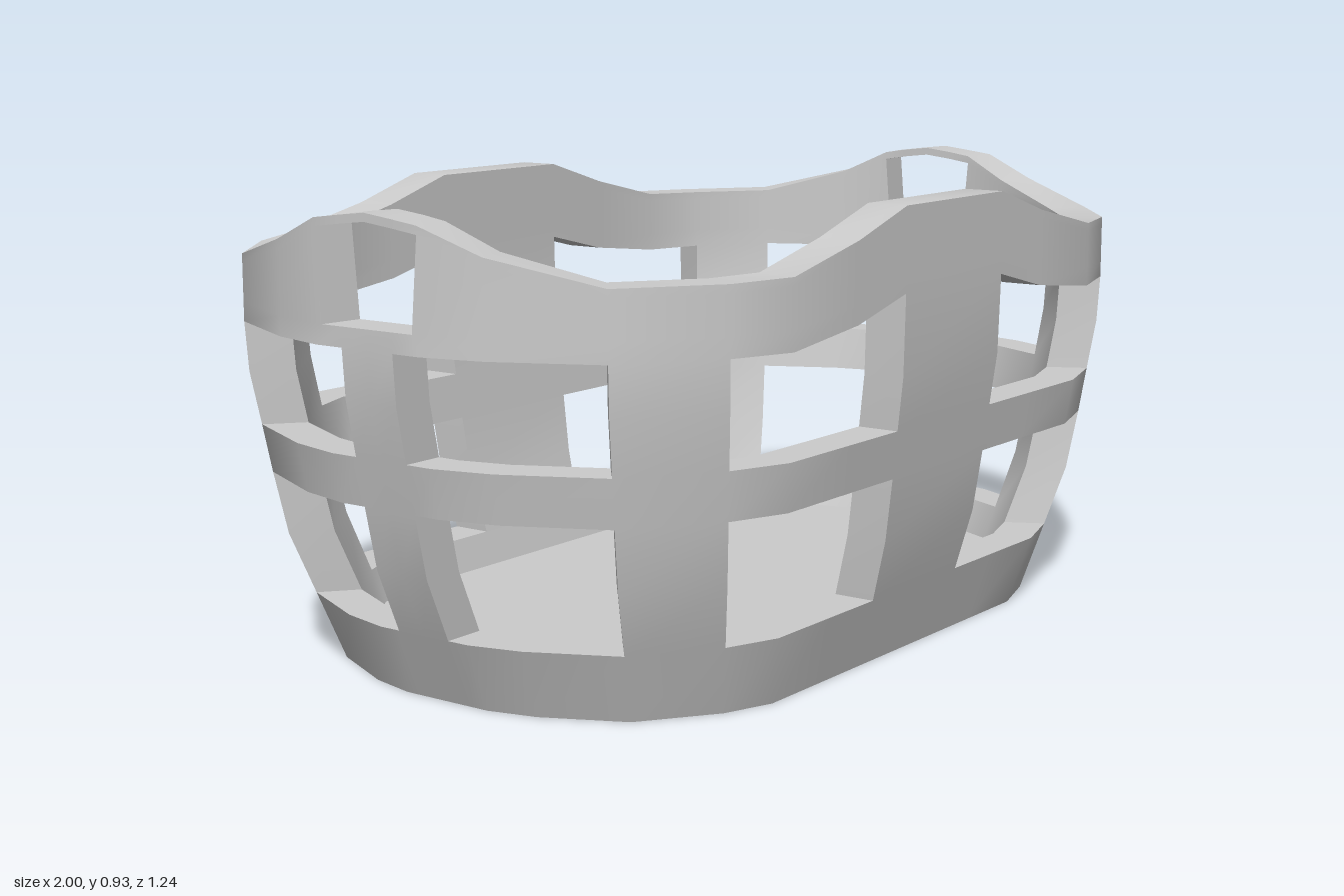
import * as THREE from 'three';
import { toCreasedNormals } from 'three/addons/utils/BufferGeometryUtils.js';

// One quarter of the plan outline, front post to side centre: x, z, rim height, upper window top
const QUARTER = [
  [0.165, 0.618, 0.915, 0.75], [0.33, 0.618, 0.865, 0.71], [0.54, 0.618, 0.82, 0.687],
  [0.70, 0.57, 0.817, 0.687], [0.875, 0.44, 0.817, 0.687], [0.97, 0.245, 0.866, 0.687],
  [1, 0.123, 0.915, 0.687], [1, 0.061, 0.923, 0.687], [1, 0, 0.93, 0.687],
];
const LAST = QUARTER.length - 1, HANDLE = 6, POST = 7; // column indices in the quarter
// Flare of the wall: height, plan scale
const FLARE = [[0, 0.81], [0.14, 0.87], [0.28, 0.93], [0.48, 0.97], [0.59, 0.993], [0.687, 1], [2, 1]];
const THICKNESS = 0.086, FLOOR_Y = 0.07, ROWS = 9;

function flare(y) {
  const i = FLARE.findIndex((f, k) => k > 0 && y <= f[0]);
  const [y0, s0] = FLARE[i - 1], [y1, s1] = FLARE[i];
  return s0 + (s1 - s0) * (y - y0) / (y1 - y0);
}

// Mirror the quarter into a closed loop of columns
function makeColumns() {
  const columns = [];
  const add = (k, sx, sz) => {
    const [x, z, rim, top] = QUARTER[k];
    const shift = sx < 0 && k < 3 ? 0.035 : 0; // the wide posts sit slightly off centre
    columns.push({ k, x: sx * (x + shift), z: sz * z, rim, top });
  };
  for (const sx of [1, -1]) {
    for (let k = 0; k <= LAST; k++) add(k, sx, sx);
    for (let k = LAST - 1; k >= 0; k--) add(k, sx, -sx);
  }
  const n = columns.length;
  columns.forEach((c, i) => {
    const a = columns[(i + n - 1) % n], b = columns[(i + 1) % n];
    const unit = (p, q) => new THREE.Vector2(p.z - q.z, q.x - p.x).normalize();
    const n1 = unit(a, c), n2 = unit(c, b);
    c.normal = n1.clone().add(n2).normalize();
    c.normal.divideScalar(c.normal.dot(n1)); // mitred offset
    c.y = [0, 0.14, 0.265, 0.39, 0.485, 0.59, c.top, c.top + 0.038, c.rim - 0.016, c.rim];
  });
  return columns;
}

// Point on the outer or inner face of the wall
function wallPoint(c, row, inner) {
  const y = inner && row === 0 ? FLOOR_Y : c.y[row];
  const s = flare(y), t = inner ? THICKNESS : 0;
  let z = c.z * (c.k === POST ? 1 : s); // side posts keep their width
  if (c.k === HANDLE && row === 7) z *= 0.88; // handle opening narrows downwards
  return new THREE.Vector3(c.x * s - c.normal.x * t, y, z - c.normal.y * t);
}

function meshFrom(points, name) {
  const geometry = new THREE.BufferGeometry().setFromPoints(points);
  const material = new THREE.MeshStandardMaterial({ color: 0xcccccc });
  const mesh = new THREE.Mesh(toCreasedNormals(geometry, 0.7), material);
  mesh.name = name;
  return mesh;
}

export function createModel() {
  const group = new THREE.Group();
  group.name = 'basket';
  const columns = makeColumns(), n = columns.length;
  const col = (i) => columns[(i + n) % n];

  // Openings: two rows of windows all round, plus a handle slot at each end
  const isSolid = (i, row) => {
    if (row >= ROWS) return false;
    if (row < 0) return true;
    const a = col(i).k, b = col(i + 1).k;
    if (a === b) return true; // wide front and back posts
    const j = Math.min(a, b);
    const windowRow = [1, 2, 4, 5].includes(row);
    if (windowRow && j !== 3 && j < POST) return false;
    return !(row === 7 && j >= HANDLE);
  };

  // Wall with outer and inner faces, and edges around each opening and the rim
  const wall = [];
  const quad = (a, b, c, d) => wall.push(a, b, c, a, c, d);
  for (let i = 0; i < n; i++) {
    for (let row = 0; row < ROWS; row++) {
      if (!isSolid(i, row)) continue;
      const corners = [[i, row], [i + 1, row], [i + 1, row + 1], [i, row + 1]];
      const o = corners.map(([c, r]) => wallPoint(col(c), r, false));
      const p = corners.map(([c, r]) => wallPoint(col(c), r, true));
      quad(o[0], o[1], o[2], o[3]);
      quad(p[3], p[2], p[1], p[0]);
      const neighbours = [[i, row - 1], [i + 1, row], [i, row + 1], [i - 1, row]];
      neighbours.forEach(([c, r], e) => {
        const f = (e + 1) % 4;
        if (!isSolid(c, r)) quad(o[e], p[e], p[f], o[f]);
      });
    }
  }
  group.add(meshFrom(wall, 'wovenWall'));

  // Floor inside and base underneath
  const floor = [], base = [];
  for (let i = 0; i < n; i++) {
    floor.push(new THREE.Vector3(0, FLOOR_Y, 0), wallPoint(col(i), 0, true), wallPoint(col(i + 1), 0, true));
    base.push(new THREE.Vector3(0, 0, 0), wallPoint(col(i + 1), 0, false), wallPoint(col(i), 0, false));
  }
  group.add(meshFrom(floor, 'floor'), meshFrom(base, 'base'));
  return group;
}
